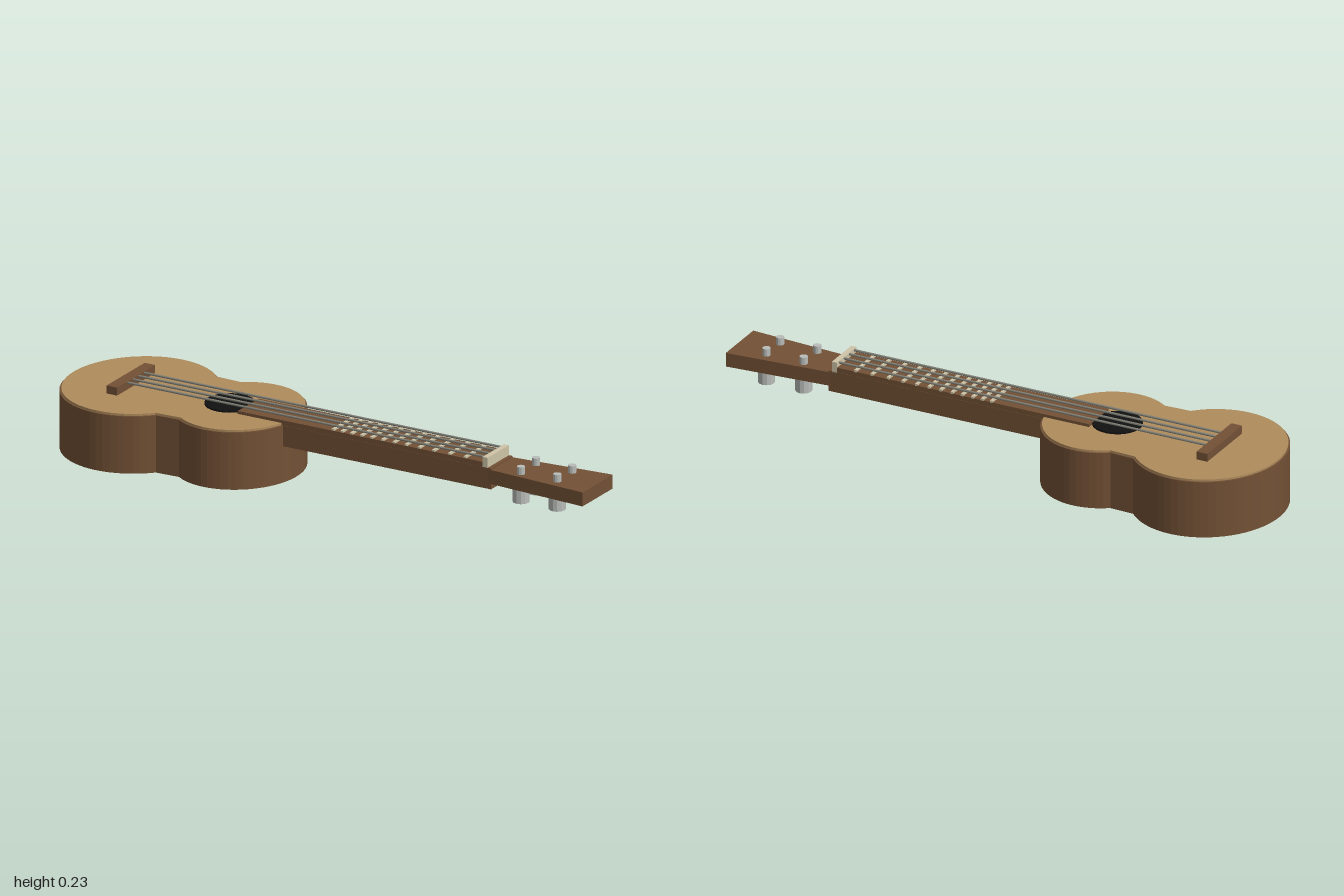
import * as THREE from 'three';

const mat = (name, color, flatShading = false) => {
  const m = new THREE.MeshStandardMaterial({ color, flatShading });
  m.name = name;
  return m;
};

// Half outline of the body: lower bout, waist, upper bout; mirrored across z = 0
function bodyShape(inset) {
  const half = [];
  const arc = (cx, rx, rz, a0, a1, n) => {
    for (let i = 0; i <= n; i++) {
      const a = a0 + ((a1 - a0) * i) / n;
      half.push([cx + (rx - inset) * Math.cos(a), (rz - inset) * Math.sin(a)]);
    }
  };
  arc(-0.743, 0.257, 0.282, Math.PI, Math.acos(0.7), 24);
  arc(-0.36, 0.213, 0.237, Math.acos(-0.55), 0, 20);
  const mirrored = half.slice(1, -1).reverse().map(([x, z]) => [x, -z]);
  return new THREE.Shape([...half, ...mirrored].map(([x, z]) => new THREE.Vector2(x, z)));
}

// Extrudes a plan outline upwards from y0 to y1
function slab(shape, y0, y1) {
  const g = new THREE.ExtrudeGeometry(shape, { depth: y1 - y0, bevelEnabled: false });
  g.rotateX(-Math.PI / 2);
  g.translate(0, y0, 0);
  return g;
}

export function createModel() {
  const wood = mat('darkWood', 0x735135, true);
  const top = mat('paleWood', 0xb08c5d, true);
  const black = mat('soundHoleBlack', 0x111111);
  const ivory = mat('ivory', 0xcfc5a8);
  const silver = mat('silver', 0xb9bdb8, true);
  const steel = mat('stringGrey', 0x85857b);

  const model = new THREE.Group();
  model.name = 'smallGuitar';
  const add = (name, geometry, material, parent = model) => {
    const mesh = new THREE.Mesh(geometry, material);
    mesh.name = name;
    parent.add(mesh);
    return mesh;
  };
  // Box given by its limits, centred on z = 0
  const box = (name, x0, x1, y0, y1, width, material, parent) =>
    add(name, new THREE.BoxGeometry(x1 - x0, y1 - y0, width), material, parent)
      .position.set((x0 + x1) / 2, (y0 + y1) / 2, 0);
  const cylinder = (name, r, x, y0, y1, z, sides, material, parent) =>
    add(name, new THREE.CylinderGeometry(r, r, y1 - y0, sides), material, parent)
      .position.set(x, (y0 + y1) / 2, z);

  // Body
  add('body', slab(bodyShape(0), 0, 0.2), wood);
  add('soundboard', slab(bodyShape(0.006), 0.2, 0.207), top);
  cylinder('soundHole', 0.084, -0.4, 0.206, 0.213, 0, 24, black);
  box('bridge', -0.797, -0.757, 0.207, 0.235, 0.246, wood);

  // Neck and headstock
  box('neck', -0.2, 0.635, 0.127, 0.2, 0.138, wood);
  box('fingerboard', -0.33, 0.605, 0.2, 0.217, 0.136, wood);
  box('nut', 0.603, 0.622, 0.195, 0.235, 0.138, ivory);
  const head = new THREE.Shape([
    [0.625, -0.069], [1, -0.097], [1, 0.097], [0.625, 0.069],
  ].map(([x, z]) => new THREE.Vector2(x, z)));
  add('headstock', slab(head, 0.146, 0.195), wood);

  // Frets, spaced more closely towards the body
  const frets = new THREE.Group();
  frets.name = 'frets';
  model.add(frets);
  [0.535, 0.475, 0.415, 0.36, 0.31, 0.264, 0.22, 0.178, 0.14, 0.102, 0.066, 0.032].forEach((x) =>
    box('fret', x - 0.005, x + 0.005, 0.215, 0.223, 0.136, ivory, frets));

  // Strings
  const strings = new THREE.Group();
  strings.name = 'strings';
  model.add(strings);
  for (const z of [-0.053, -0.018, 0.018, 0.053]) {
    const g = new THREE.CylinderGeometry(0.004, 0.004, 1.38, 6);
    g.rotateZ(Math.PI / 2);
    add('string', g, steel, strings).position.set(-0.08, 0.23, z);
  }

  // Tuning pegs: slim post above the headstock, wide button below
  const pegs = new THREE.Group();
  pegs.name = 'tuningPegs';
  model.add(pegs);
  for (const x of [0.737, 0.875]) {
    for (const z of [-0.048, 0.048]) {
      cylinder('pegPost', 0.014, x, 0.19, 0.221, z, 10, silver, pegs);
      cylinder('pegButton', 0.028, x, 0.098, 0.147, z, 12, silver, pegs);
    }
  }
  return model;
}
